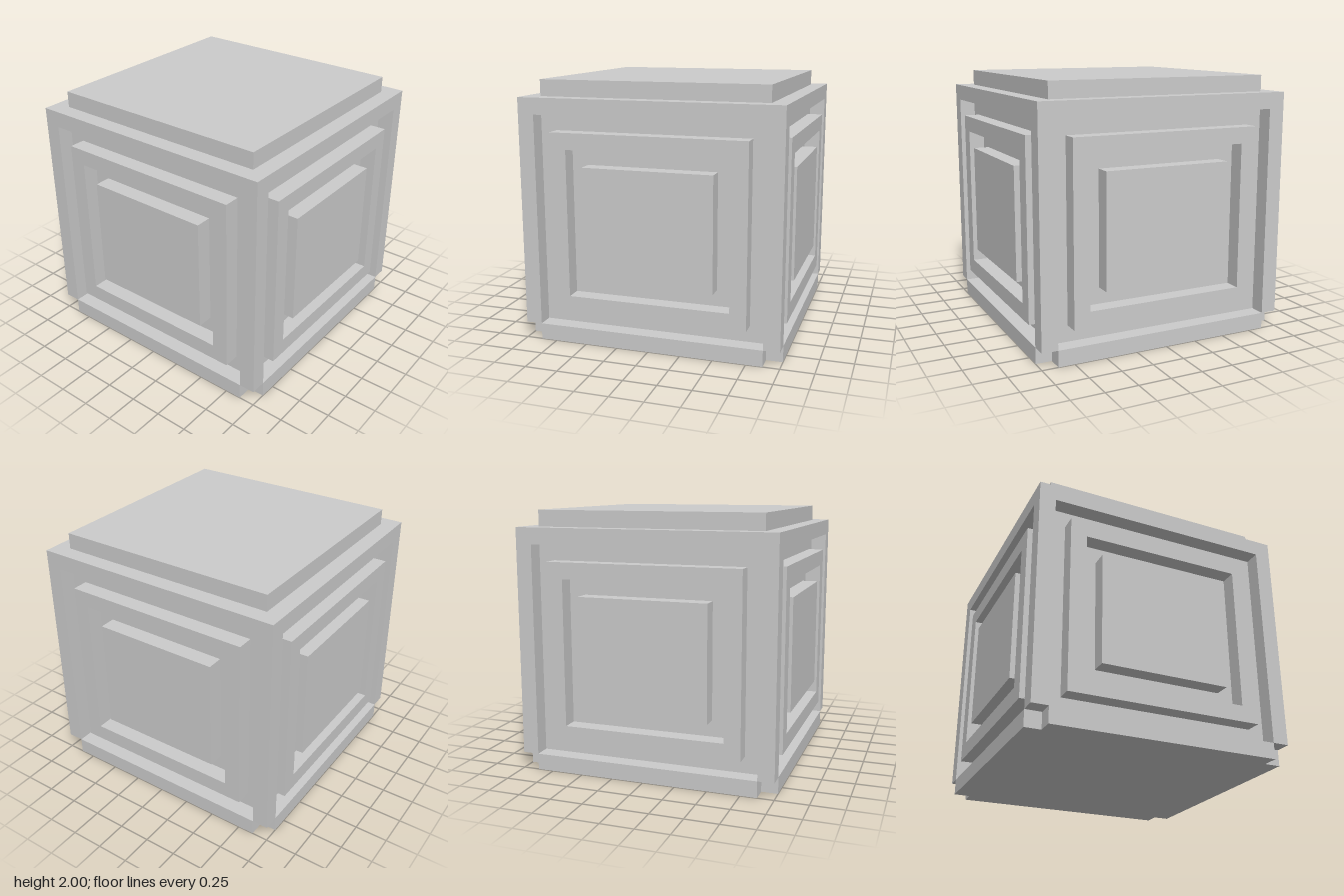
import * as THREE from 'three';

const material = new THREE.MeshStandardMaterial({ color: 0xcccccc, flatShading: true });
const T = 0.125; // thickness of every raised band and depth of every groove

function addMesh(parent, name, geometry, x = 0, y = 0, z = 0) {
  const mesh = new THREE.Mesh(geometry, material);
  mesh.name = name;
  mesh.position.set(x, y, z);
  parent.add(mesh);
  return mesh;
}

// Rectangle outline, usable as a shape or as a hole
function rect(Type, halfWidth, bottom, top) {
  return new Type([
    [-halfWidth, bottom], [halfWidth, bottom], [halfWidth, top], [-halfWidth, top],
  ].map(([x, y]) => new THREE.Vector2(x, y)));
}

// Rectangular ring, T deep along +z
function ringGeometry(outer, inner) {
  const shape = rect(THREE.Shape, ...outer);
  shape.holes.push(rect(THREE.Path, ...inner));
  return new THREE.ExtrudeGeometry(shape, { depth: T, bevelEnabled: false });
}

export function createModel() {
  const model = new THREE.Group();
  model.name = 'panelledCube';

  // Inner block, whose top forms the raised lid and whose sides floor the grooves
  addMesh(model, 'core', new THREE.BoxGeometry(1.75, 2, 1.75), 0, 1, 0);

  // Square rim around the top
  const rim = ringGeometry([1, -1, 1], [0.875, -0.875, 0.875]);
  rim.rotateX(-Math.PI / 2);
  addMesh(model, 'topRim', rim, 0, 1.75, 0);

  const postGeometry = new THREE.BoxGeometry(T, 1.625, T);
  const skirtGeometry = new THREE.BoxGeometry(1.75, T, T);
  const bandGeometry = ringGeometry([0.75, 0.25, 1.625], [0.625, 0.375, 1.5]);
  const panelGeometry = new THREE.BoxGeometry(1, 0.875, T);

  // Four identical sides, each with one corner post
  ['front', 'left', 'back', 'right'].forEach((label, i) => {
    const side = new THREE.Group();
    side.name = label + 'Side';
    side.rotation.y = i * Math.PI / 2;
    addMesh(side, 'cornerPost', postGeometry, 0.9375, 0.9375, 0.9375);
    addMesh(side, 'skirt', skirtGeometry, 0, 0.0625, 0.9375);
    addMesh(side, 'raisedBand', bandGeometry, 0, 0, 0.875);
    addMesh(side, 'centrePanel', panelGeometry, 0, 0.9375, 0.9375);
    model.add(side);
  });

  return model;
}
